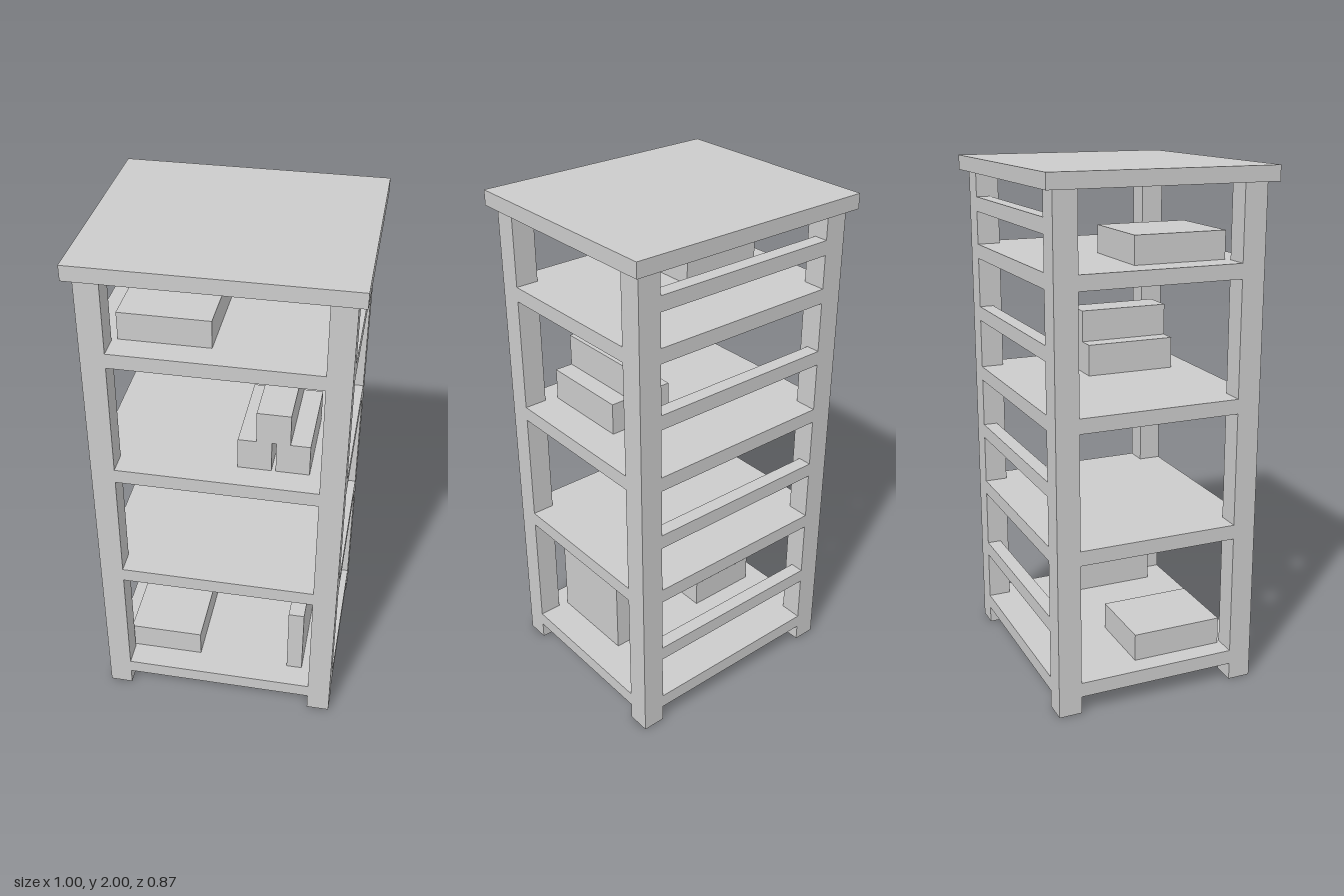
import * as THREE from 'three';

export function createModel() {
  const model = new THREE.Group();
  const material = new THREE.MeshStandardMaterial({ color: 0xcccccc, flatShading: true });

  // Overall frame: outer half sizes, post thickness and board thickness
  const W = 0.468, D = 0.405, POST = 0.09, BOARD = 0.057;

  const add = (name, geometry) => {
    const mesh = new THREE.Mesh(geometry, material);
    mesh.name = name;
    model.add(mesh);
    return mesh;
  };

  // Box given by its extents along each axis
  const box = (name, [x0, x1], [y0, y1], [z0, z1]) =>
    add(name, new THREE.BoxGeometry(x1 - x0, y1 - y0, z1 - z0))
      .position.set((x0 + x1) / 2, (y0 + y1) / 2, (z0 + z1) / 2);

  // Overhanging top
  box('topBoard', [-0.498, 0.498], [1.943, 2], [-0.437, 0.437]);

  // Corner posts
  for (const sx of [-1, 1]) {
    for (const sz of [-1, 1]) {
      const post = add('cornerPost', new THREE.BoxGeometry(POST, 1.943, POST));
      post.position.set(sx * (W - POST / 2), 1.943 / 2, sz * (D - POST / 2));
    }
  }

  // Shelves, notched around the posts and flush with their outer faces
  const w = W - POST, d = D - POST;
  const outline = new THREE.Shape([
    [w, -D], [w, -d], [W, -d], [W, d], [w, d], [w, D],
    [-w, D], [-w, d], [-W, d], [-W, -d], [-w, -d], [-w, -D],
  ].map(([x, y]) => new THREE.Vector2(x, y)));
  const shelfGeometry = new THREE.ExtrudeGeometry(outline, { depth: BOARD, bevelEnabled: false });
  shelfGeometry.rotateX(-Math.PI / 2);
  for (const y of [0.068, 0.601, 1.1, 1.602]) {
    add('shelf', shelfGeometry).position.y = y;
  }

  // Rails across the back
  for (const y of [0.318, 0.851, 1.35, 1.788]) {
    box('backRail', [-w, w], [y, y + BOARD], [-D, -D + 0.055]);
  }

  // Books and boxes on the shelves
  const depth = [-0.06, 0.302];
  box('flatBoxBottom', [-0.39, -0.095], [0.125, 0.233], depth);
  box('uprightBook', [0.275, 0.338], [0.125, 0.43], [-0.06, 0.308]);
  box('stackBoxRight', [0.063, 0.188], [1.157, 1.282], depth);
  box('stackBoxLeft', [0.204, 0.329], [1.157, 1.282], depth);
  box('stackBoxUpper', [0.131, 0.256], [1.282, 1.407], depth);
  box('flatBoxTop', [-0.36, -0.026], [1.659, 1.765], depth);

  return model;
}
